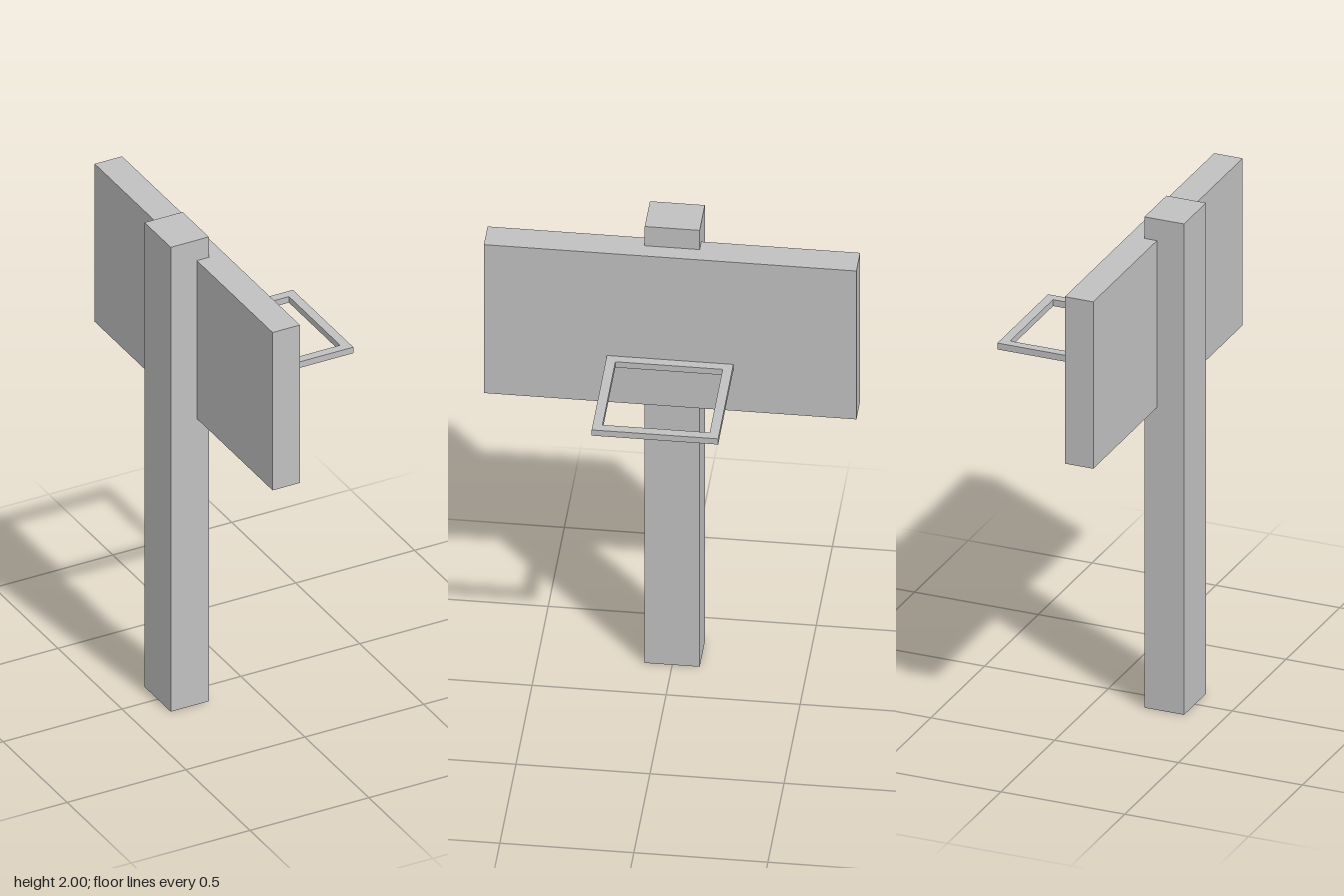
import * as THREE from 'three';

export function createModel() {
  const group = new THREE.Group();
  group.name = 'basketballHoop';

  const grey = new THREE.MeshStandardMaterial({ color: 0xc0c0c0 });
  grey.name = 'light grey';

  const add = (name, geometry, x, y, z) => {
    const mesh = new THREE.Mesh(geometry, grey);
    mesh.name = name;
    mesh.position.set(x, y, z);
    group.add(mesh);
  };

  // Square post standing on the ground
  add('post', new THREE.BoxGeometry(0.16, 2, 0.205), -0.27, 1, 0);

  // Backboard, set into the post and facing +x
  add('backboard', new THREE.BoxGeometry(0.115, 0.68, 1.39), -0.183, 1.572, 0);

  // Square rim: an outer square with a square hole, laid flat
  const square = (path, half) => {
    path.moveTo(-half, -half);
    path.lineTo(half, -half);
    path.lineTo(half, half);
    path.lineTo(-half, half);
    path.closePath();
    return path;
  };
  const outline = square(new THREE.Shape(), 0.236);
  outline.holes.push(square(new THREE.Path(), 0.2));
  const rim = new THREE.ExtrudeGeometry(outline, { depth: 0.026, bevelEnabled: false });
  rim.rotateX(Math.PI / 2);
  add('rim', rim, 0.11, 1.444, 0);

  return group;
}
